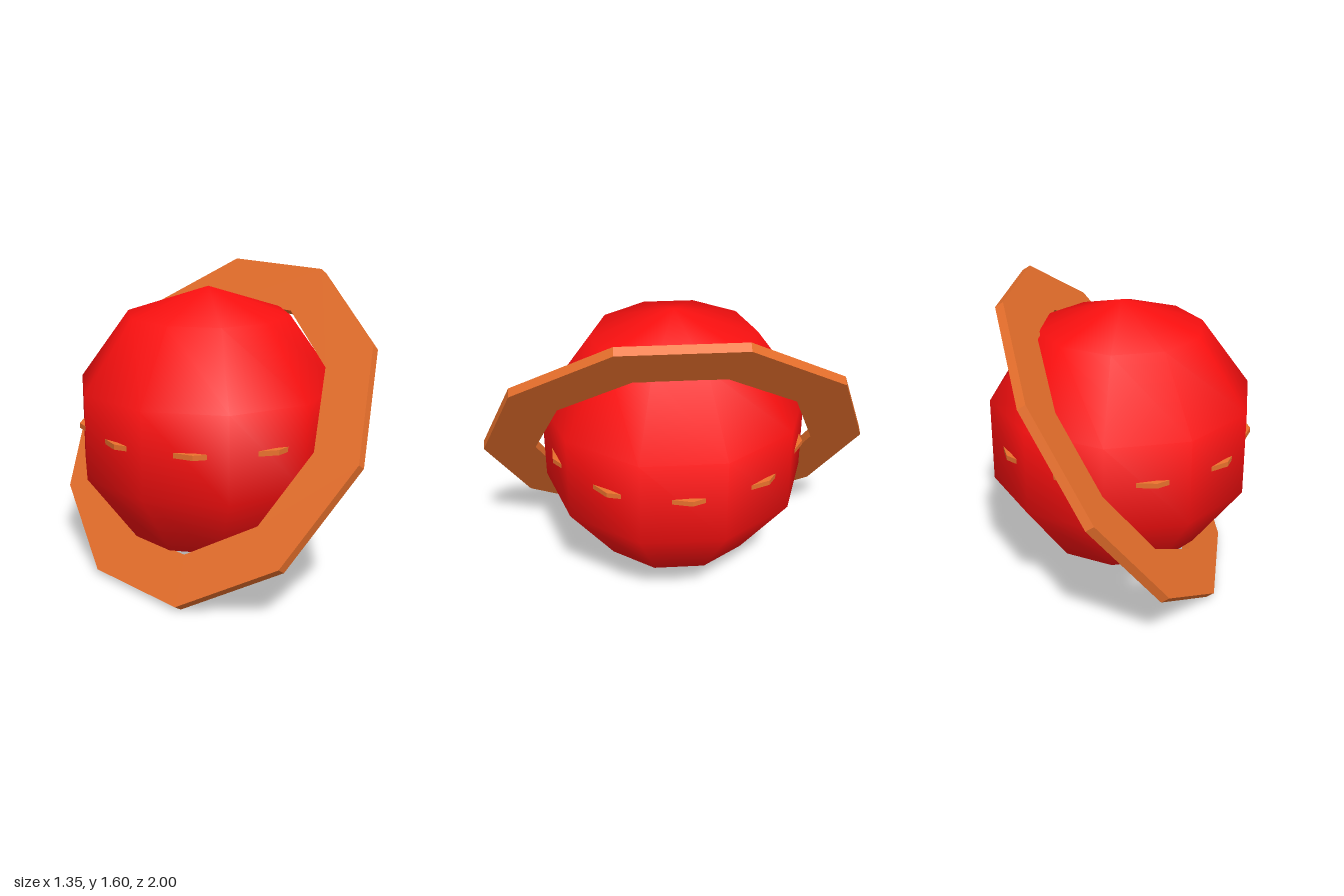
import * as THREE from 'three';

const SIDES = 10;
const deg = THREE.MathUtils.degToRad;

// Corners of a regular polygon, first corner on +x
function polygon(radius) {
  return Array.from({ length: SIDES }, (_, i) => {
    const a = (i / SIDES) * Math.PI * 2;
    return new THREE.Vector2(radius * Math.cos(a), radius * Math.sin(a));
  });
}

export function createModel() {
  const group = new THREE.Group();
  const red = new THREE.MeshStandardMaterial({ color: 0xff1010 });
  const orange = new THREE.MeshStandardMaterial({ color: 0xe8702c, flatShading: true });

  // Low-poly ball with a vertical band around its middle, corners on the z axis
  const planet = new THREE.Mesh(new THREE.SphereGeometry(0.72, SIDES, 5), red);
  planet.name = 'planet';
  planet.position.y = 0.82;
  planet.rotation.y = Math.PI / 2;
  group.add(planet);

  // Wide flat ten-sided ring, tilted up towards +x
  const thickness = 0.048;
  const shape = new THREE.Shape(polygon(1));
  shape.holes.push(new THREE.Path(polygon(0.73)));
  const ringGeometry = new THREE.ExtrudeGeometry(shape, { depth: thickness, bevelEnabled: false });
  ringGeometry.translate(0, 0, -thickness / 2).rotateY(Math.PI / 2);
  const outerRing = new THREE.Mesh(ringGeometry, orange);
  outerRing.name = 'outerRing';
  outerRing.position.set(0.018, 0.803, 0);
  outerRing.rotation.z = deg(-34);
  group.add(outerRing);

  // Thin tapered ring inside the ball; only its corners break through the surface
  const profile = [[0.6, -0.024], [0.678, -0.013], [0.678, 0.013], [0.6, 0.024], [0.6, -0.024]]
    .map(([r, y]) => new THREE.Vector2(r, y));
  const innerRing = new THREE.Mesh(new THREE.LatheGeometry(profile, SIDES), orange);
  innerRing.name = 'innerRing';
  innerRing.position.y = 0.836;
  innerRing.rotation.y = deg(21.5);
  group.add(innerRing);

  return group;
}
